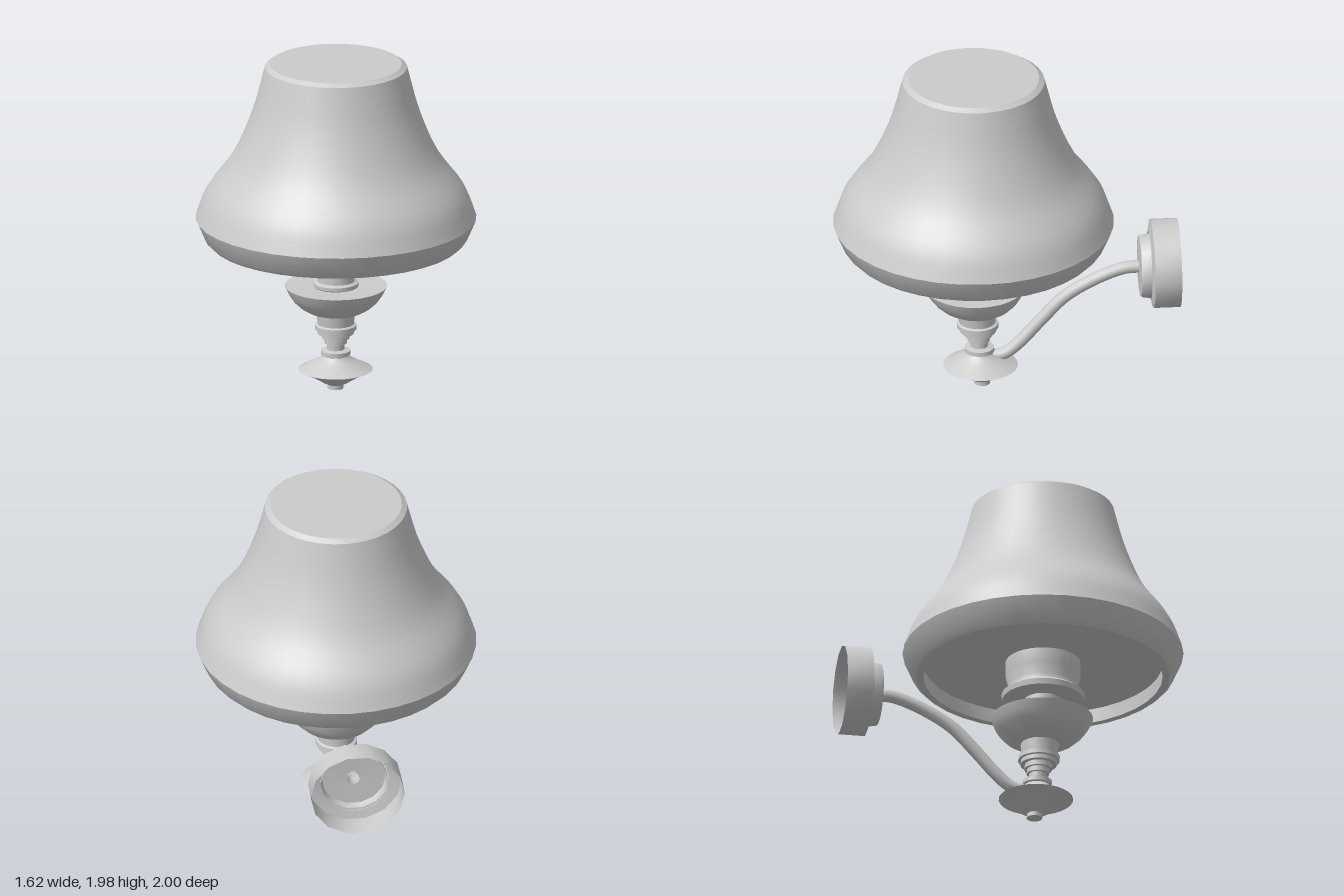
import * as THREE from 'three';
import { toCreasedNormals } from 'three/addons/utils/BufferGeometryUtils.js';

const material = new THREE.MeshStandardMaterial({ color: 0xcccccc, side: THREE.DoubleSide });
const AXIS_Z = 0.185;

// Lathe from [radius, height] pairs, keeping sharp edges sharp
const lathe = (profile, sides) =>
  new THREE.LatheGeometry(profile.map(([r, y]) => new THREE.Vector2(r, y)), sides, Math.PI / 2);

// The stem leans very slightly forward towards the shade
function lean(geometry) {
  const p = geometry.attributes.position;
  for (let i = 0; i < p.count; i++) {
    p.setZ(i, p.getZ(i) + Math.min(0.135 + 0.07 * p.getY(i), AXIS_Z));
  }
  return geometry;
}

export function createModel() {
  const group = new THREE.Group();
  const add = (name, geometry, crease = 0.55) => {
    const mesh = new THREE.Mesh(toCreasedNormals(geometry, crease), material);
    mesh.name = name;
    group.add(mesh);
  };

  // Bell-shaped shade: smooth outer curve, closed top, recessed underside
  const bell = new THREE.CatmullRomCurve3(
    [[0.81, 1.05], [0.75, 1.205], [0.6, 1.415], [0.485, 1.68], [0.41, 1.955]]
      .map(([r, y]) => new THREE.Vector3(r, y, 0))
  ).getPoints(16).map((v) => [v.x, v.y]);
  const shade = lathe([
    [0, 0.99], [0.69, 0.99], [0.69, 0.905], [0.73, 0.905], [0.76, 0.935],
    ...bell, [0.38, 1.975], [0, 1.975],
  ], 36);
  shade.translate(0, 0, AXIS_Z);
  add('shade', shade);

  // Base finial: small tip under a flared disc
  add('baseFinial', lean(lathe([
    [0, 0], [0.045, 0], [0.045, 0.025], [0.075, 0.04], [0.12, 0.07], [0.165, 0.097], [0.215, 0.12],
    [0.165, 0.143], [0.12, 0.17], [0.085, 0.19], [0.07, 0.21], [0, 0.21],
  ], 28)));

  // Stepped rings growing upwards, then the neck
  add('stemRings', lean(lathe([
    [0.065, 0.2], [0.085, 0.21], [0.085, 0.235], [0.05, 0.242], [0.05, 0.28], [0.065, 0.28],
    [0.065, 0.31], [0.08, 0.31], [0.08, 0.34], [0.105, 0.34], [0.105, 0.365], [0.12, 0.367],
    [0.12, 0.393], [0.105, 0.4], [0.113, 0.475],
  ], 24)));

  // Drip bowl with the candle holder standing in it
  add('bowl', lean(lathe([
    [0.11, 0.468], [0.16, 0.48], [0.205, 0.507], [0.245, 0.545], [0.275, 0.59], [0.295, 0.635], [0.12, 0.63],
  ], 28)));
  add('holder', lean(lathe([
    [0.12, 0.62], [0.13, 0.635], [0.13, 0.655], [0.108, 0.665], [0.108, 0.755],
  ], 24)));

  // Collar that carries the shade
  add('collar', lean(lathe([
    [0.1, 0.752], [0.235, 0.752], [0.24, 0.785], [0.225, 0.797], [0.205, 0.81], [0.2, 0.84], [0.217, 0.905], [0.217, 0.99],
  ], 28)));

  // Curved arm from the finial to the wall plate
  const path = new THREE.CatmullRomCurve3(
    [[0.17, 0.07], [0.19, 0.0], [0.255, -0.08], [0.4, -0.21], [0.54, -0.345], [0.65, -0.53], [0.708, -0.69], [0.713, -0.785]]
      .map(([y, z]) => new THREE.Vector3(0, y, z))
  );
  add('arm', new THREE.TubeGeometry(path, 32, 0.037, 10), 0.8);

  // Wall cup: hollow stepped shell, open towards the wall, with a hole for the arm
  const cup = lathe([[0.272, -1], [0.272, -0.845], [0.2, -0.832]], 14);
  cup.rotateX(Math.PI / 2).scale(1, 0.95, 1).translate(0, 0.728, 0);
  add('wallCup', cup);
  const plate = lathe([[0.2, -0.838], [0.19, -0.785], [0.185, -0.775], [0.036, -0.77]], 14);
  plate.rotateX(Math.PI / 2).scale(1, 0.95, 1).translate(0, 0.713, 0);
  add('wallPlate', plate);

  return group;
}
